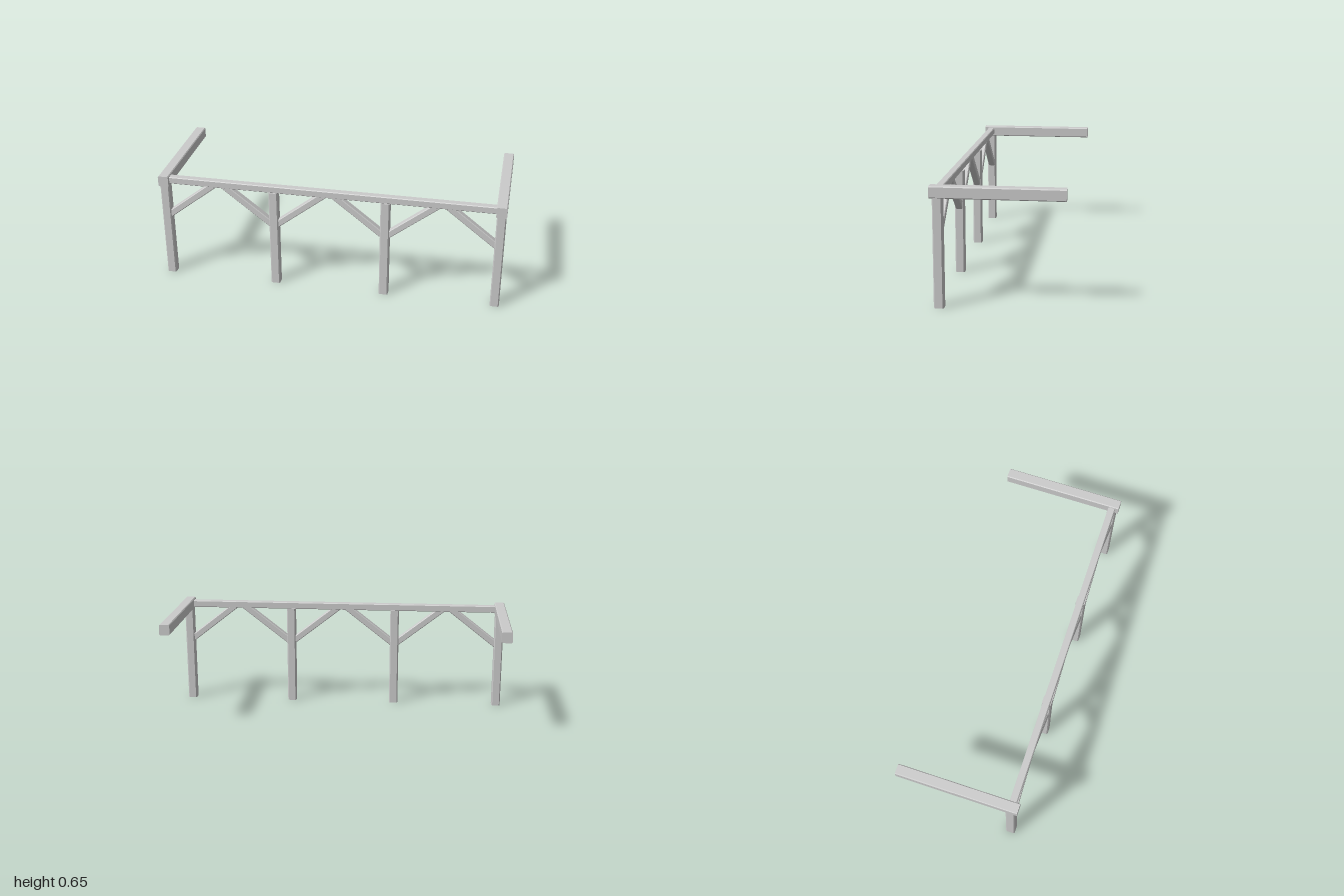
import * as THREE from 'three';

const material = new THREE.MeshStandardMaterial({ color: 0xcccccc, flatShading: true });
const up = new THREE.Vector3(0, 1, 0);

// Timber with chamfered long edges, centred on its length, running along +z
function timber(name, width, height, length, chamfer) {
  const w = width / 2, h = height / 2, c = chamfer;
  const section = new THREE.Shape([
    [w - c, -h], [w, -h + c], [w, h - c], [w - c, h],
    [-w + c, h], [-w, h - c], [-w, -h + c], [-w + c, -h],
  ].map(([x, y]) => new THREE.Vector2(x, y)));
  const geometry = new THREE.ExtrudeGeometry(section, { depth: length, bevelEnabled: false });
  geometry.translate(0, 0, -length / 2);
  const mesh = new THREE.Mesh(geometry, material);
  mesh.name = name;
  return mesh;
}

export function createModel() {
  const model = new THREE.Group();
  model.name = 'timberFrame';
  const frontZ = 0.31, spacing = 0.647;
  const postX = [-1.5, -0.5, 0.5, 1.5].map((n) => n * spacing);

  // Posts: the inner pair reaches the front beam, the outer pair the side beams
  postX.forEach((x, i) => {
    const height = i === 0 || i === 3 ? 0.592 : 0.6;
    const post = timber('post', 0.053, 0.053, height, 0.006);
    post.rotation.x = -Math.PI / 2;
    post.position.set(x, height / 2, frontZ);
    model.add(post);
  });

  // Side beams running front to back
  for (const side of [-1, 1]) {
    const beam = timber('sideBeam', 0.06, 0.063, 0.704, 0.005);
    beam.position.set(side * 0.97, 0.6195, 0);
    model.add(beam);
  }

  // Front beam joining the side beams
  const frontBeam = timber('frontBeam', 0.041, 0.041, 1.89, 0.004);
  frontBeam.rotation.y = Math.PI / 2;
  frontBeam.position.set(0, 0.62, 0.311);
  model.add(frontBeam);

  // A mirrored pair of diagonal braces in each bay
  for (let bay = -1; bay <= 1; bay++) {
    for (const side of [-1, 1]) {
      const foot = new THREE.Vector3(bay * spacing + side * 0.312, 0.391, 0.311);
      const head = new THREE.Vector3(bay * spacing + side * 0.026, 0.615, 0.311);
      const brace = timber('brace', 0.039, 0.038, foot.distanceTo(head), 0.004);
      brace.up.copy(up);
      brace.position.copy(foot).add(head).multiplyScalar(0.5);
      brace.lookAt(head);
      model.add(brace);
    }
  }
  return model;
}
